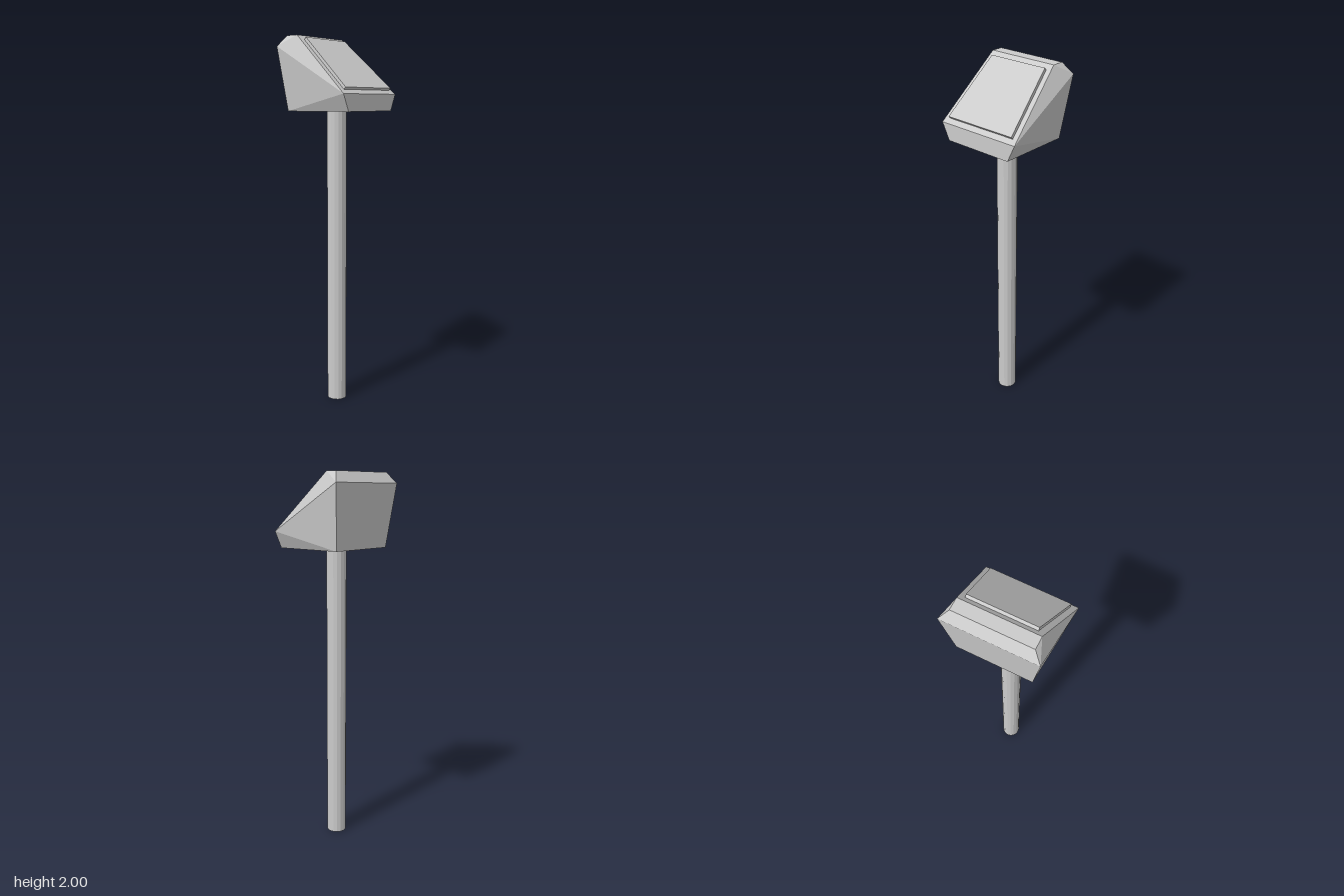
import * as THREE from 'three';
import { ConvexGeometry } from 'three/addons/geometries/ConvexGeometry.js';

const material = new THREE.MeshStandardMaterial({ color: 0xcccccc, flatShading: true });

function part(name, geometry) {
  const mesh = new THREE.Mesh(geometry, material);
  mesh.name = name;
  return mesh;
}

// Faceted solid from [x, y, halfWidth] profile corners mirrored across z
function mirroredSolid(profile, zCentre = 0) {
  const points = [];
  for (const [x, y, w] of profile)
    for (const side of [-1, 1]) points.push(new THREE.Vector3(x, y, zCentre + side * w));
  return new ConvexGeometry(points);
}

export function createModel() {
  const group = new THREE.Group();
  group.name = 'consolePost';

  // Round post
  const post = part('post', new THREE.CylinderGeometry(0.053, 0.053, 1.615, 16));
  post.position.set(-0.004, 1.615 / 2, 0);
  group.add(post);

  // Wedge-shaped head, widest at its middle crease
  group.add(part('head', mirroredSolid([
    [-0.178, 1.615, 0.195],
    [0.212, 1.615, 0.195],
    [0.212, 1.703, 0.238],
    [-0.213, 1.945, 0.238],
    [-0.176, 2.0, 0.195],
    [-0.113, 2.0, 0.195],
  ])));

  // Thin tapered panel lying on the sloping face
  const slope = [[-0.088, 1.977, 0.169], [0.189, 1.723, 0.206]];
  const raised = slope.map(([x, y, w]) => [x + 0.011, y + 0.012, w]);
  group.add(part('panel', mirroredSolid([...slope, ...raised], -0.002)));

  return group;
}
